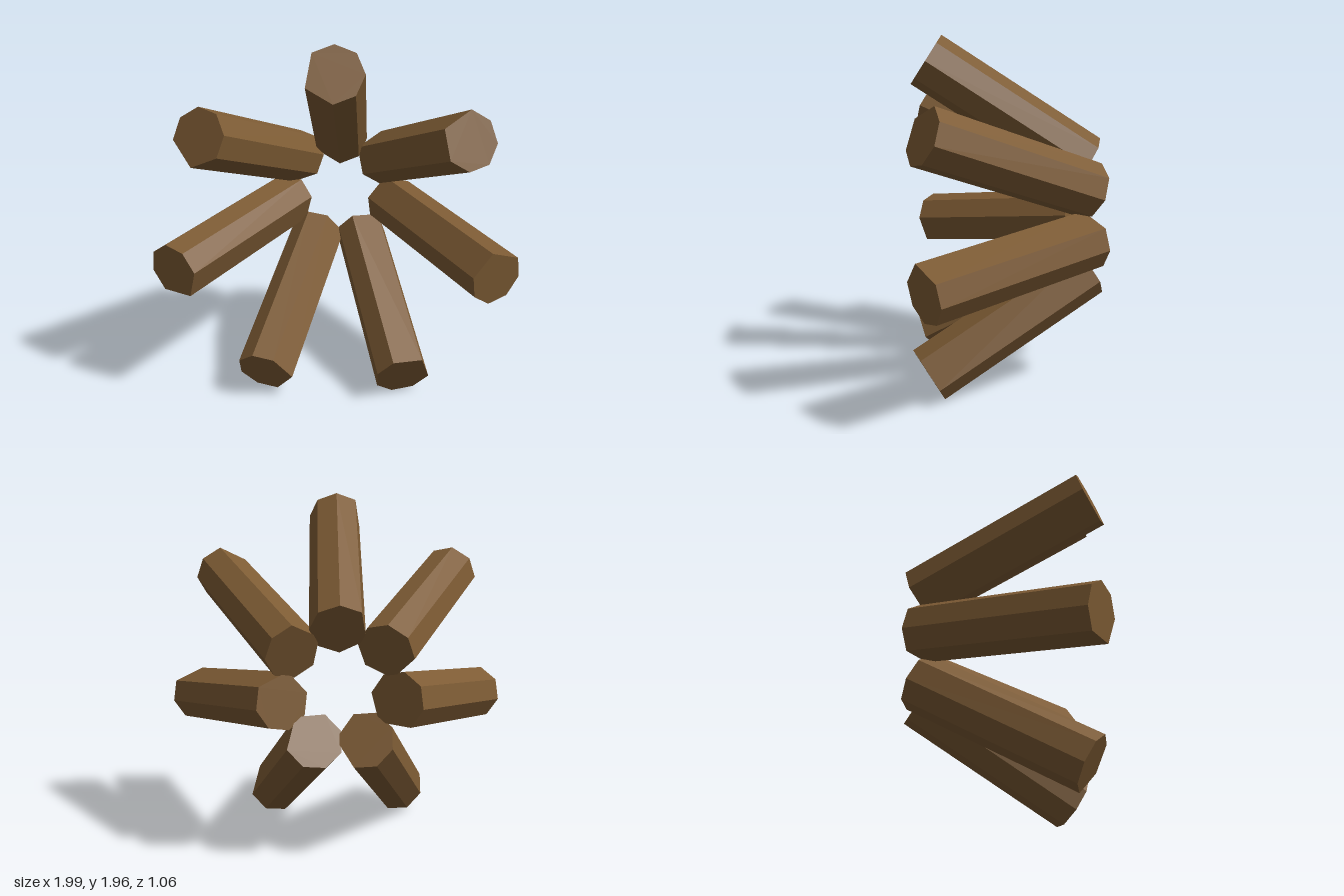
import * as THREE from 'three';

const LOGS = 7;
const RADIUS = 0.16;
const LENGTH = 1.06;
const TILT = THREE.MathUtils.degToRad(33);
const RING_RADIUS = 0.6;
const RING_HEIGHT = 0.943;

// Seven-sided log section: corner angles clockwise from the outward (+y) side
function logGeometry() {
  const corners = [0, 45, 90, 135, 180, 242, 315].map((deg) => {
    const a = THREE.MathUtils.degToRad(deg);
    return new THREE.Vector2(RADIUS * Math.sin(a), RADIUS * Math.cos(a));
  });
  const geometry = new THREE.ExtrudeGeometry(new THREE.Shape(corners), {
    depth: LENGTH,
    bevelEnabled: false,
  });
  return geometry.translate(0, 0, -LENGTH / 2);
}

export function createModel() {
  const model = new THREE.Group();
  model.name = 'logRing';

  const wood = new THREE.MeshStandardMaterial({ color: 0x7d5b34, flatShading: true });
  const geometry = logGeometry();

  // Logs spaced evenly round the z axis, flaring outward toward the front
  for (let i = 0; i < LOGS; i++) {
    const spoke = new THREE.Group();
    spoke.name = `logSpoke${i + 1}`;
    spoke.position.y = RING_HEIGHT;
    spoke.rotation.z = (i / LOGS) * Math.PI * 2;

    const log = new THREE.Mesh(geometry, wood);
    log.name = `log${i + 1}`;
    log.position.y = RING_RADIUS;
    log.rotation.x = -TILT;
    spoke.add(log);
    model.add(spoke);
  }
  return model;
}
